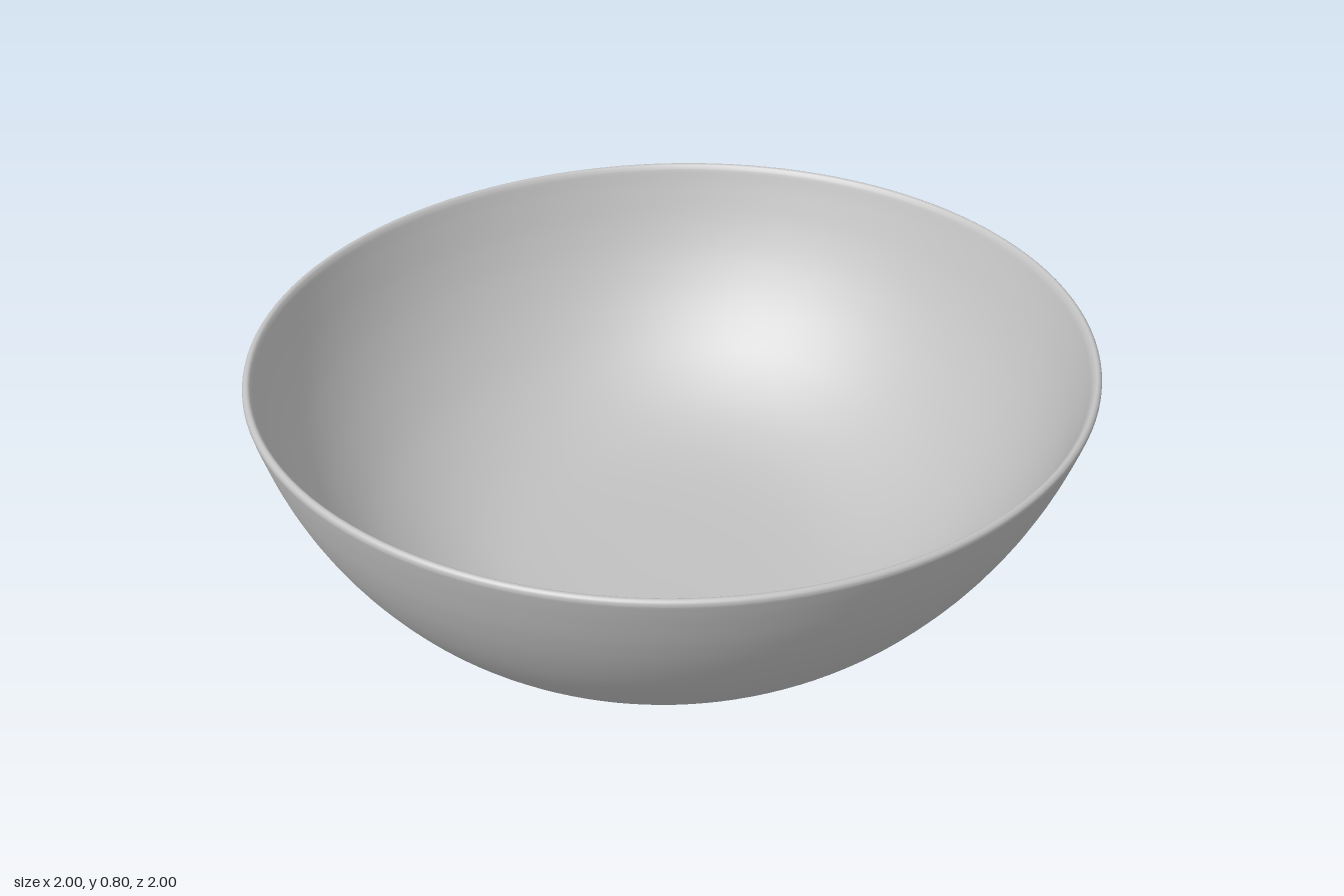
import * as THREE from 'three';
import { mergeVertices } from 'three/addons/utils/BufferGeometryUtils.js';

const RIM = 0.757;

// Smooth run of profile points (radius, height)
function smooth(points, n) {
  return new THREE.SplineCurve(points.map(([r, y]) => new THREE.Vector2(r, y))).getPoints(n);
}

// Turn a profile, then give it the slightly uneven, hand-thrown lean
function turn(profile, name, material) {
  let geo = new THREE.LatheGeometry(profile, 128);
  geo.deleteAttribute('uv');
  geo.deleteAttribute('normal');
  const p = geo.attributes.position;
  for (let i = 0; i < p.count; i++) {
    const x = p.getX(i), y = p.getY(i), z = p.getZ(i);
    const t = THREE.MathUtils.clamp(y / RIM, 0, 1);
    const lean = z * (0.018 + 0.019 * t) - x * (0.009 + 0.009 * t);
    const warp = 0.005 * t * (x * x - z * z);
    p.setXYZ(i, x - 0.005 * (1 - t), y + lean + warp, z - 0.025 * (1 - t));
  }
  geo = mergeVertices(geo, 1e-5);
  geo.computeVertexNormals();
  const mesh = new THREE.Mesh(geo, material);
  mesh.name = name;
  return mesh;
}

export function createModel() {
  const group = new THREE.Group();
  group.name = 'bowl';
  const glaze = new THREE.MeshStandardMaterial({ color: 0xc2c2c2 });
  glaze.name = 'grey glaze';

  // Foot ring: recessed underside, rounded lip, flaring outer wall
  const foot = [
    ...smooth([[0, 0.092], [0.2, 0.092], [0.36, 0.092]], 6),
    ...smooth([[0.373, 0.088], [0.381, 0.07], [0.386, 0.03], [0.392, 0.014], [0.403, 0.009],
      [0.415, 0.014], [0.424, 0.03], [0.43, 0.055], [0.441, 0.076], [0.465, 0.093]], 32),
  ];
  // Full, rounded outer wall, rounded rim and inner wall down to the floor
  const outer = smooth([[0.465, 0.093], [0.55, 0.135], [0.65, 0.2], [0.75, 0.289], [0.837, 0.395],
    [0.903, 0.5], [0.951, 0.6], [0.984, 0.69], [1.0, 0.742]], 44);
  const rim = smooth([[1.0, 0.742], [0.999, 0.751], [0.992, 0.757], [0.984, 0.755], [0.977, 0.744]], 12);
  const inner = smooth([[0.977, 0.744], [0.959, 0.69], [0.924, 0.6], [0.876, 0.505], [0.809, 0.405],
    [0.72, 0.306], [0.62, 0.23], [0.52, 0.179], [0.42, 0.15], [0.3, 0.137], [0.15, 0.132], [0, 0.131]], 56);

  group.add(turn([...foot, ...outer.slice(1), ...rim.slice(1), ...inner.slice(1)], 'bowlBody', glaze));

  // Rest the foot on the ground and centre the bowl
  const box = new THREE.Box3().setFromObject(group);
  const c = box.getCenter(new THREE.Vector3());
  group.children[0].position.set(-c.x, -box.min.y, -c.z);
  return group;
}
